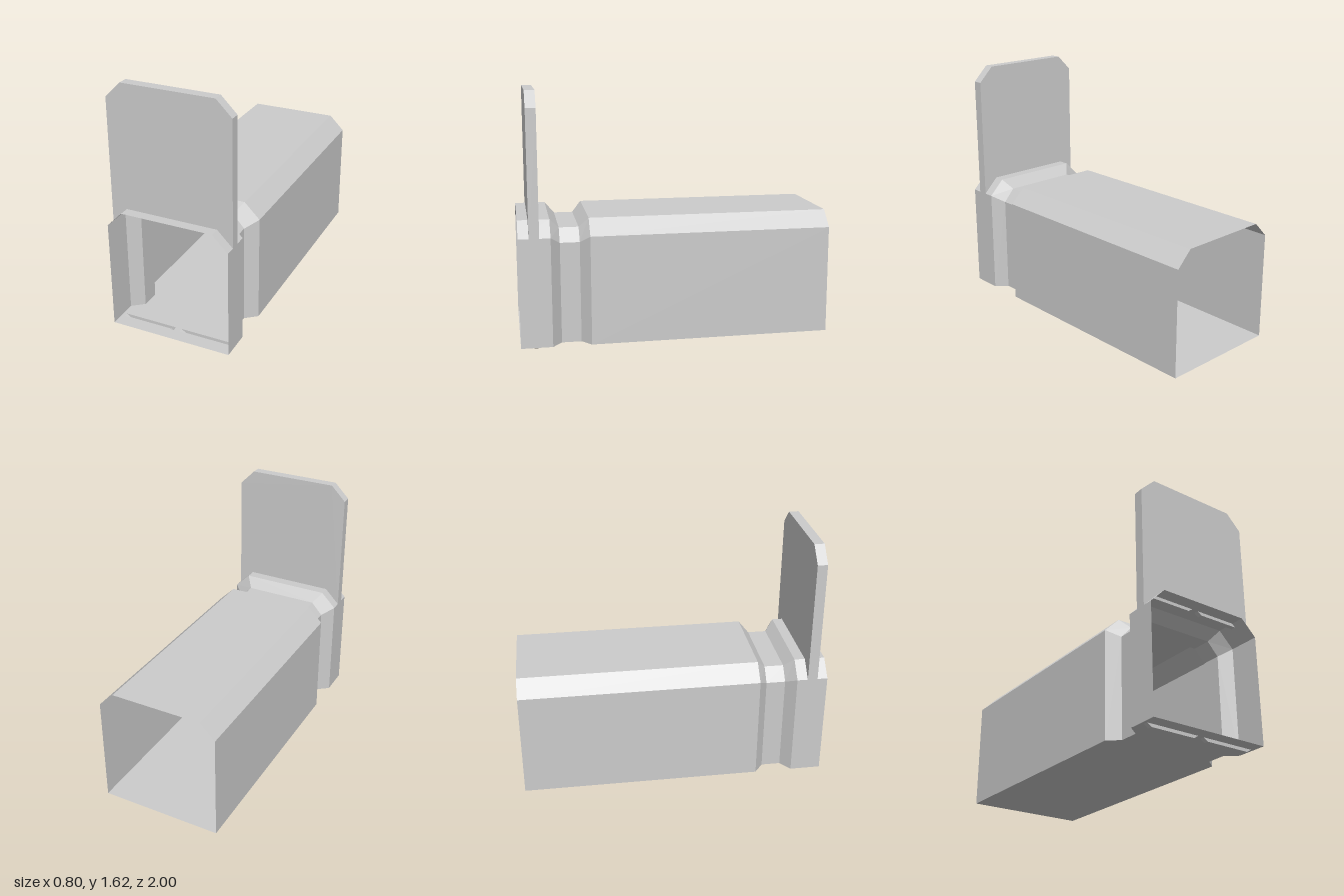
import * as THREE from 'three';

const FLOOR = 0.02;
const material = new THREE.MeshStandardMaterial({ color: 0xcccccc, flatShading: true, side: THREE.DoubleSide });

function mesh(name, geometry) {
  const m = new THREE.Mesh(geometry, material);
  m.name = name;
  return m;
}

function shapeOf(points) {
  return new THREE.Shape(points.map(([x, y]) => new THREE.Vector2(x, y)));
}

// Sheet of flat quads joining consecutive open rows of points
function sheet(rows) {
  const pos = [];
  for (let s = 0; s < rows.length - 1; s++) {
    for (let i = 0; i < rows[s].length - 1; i++) {
      const a = rows[s][i], b = rows[s][i + 1], c = rows[s + 1][i + 1], d = rows[s + 1][i];
      pos.push(...a, ...d, ...c, ...a, ...c, ...b);
    }
  }
  const g = new THREE.BufferGeometry();
  g.setAttribute('position', new THREE.Float32BufferAttribute(pos, 3));
  g.computeVertexNormals();
  return g;
}

export function createModel() {
  const group = new THREE.Group();

  // Duct cross-sections: half width, shoulder half width, shoulder height, roof height
  const wide = [0.4, 0.3, 0.72, 0.82];
  const neck = [0.325, 0.25, 0.672, 0.755];
  const stations = [[1, wide], [0.8, wide], [0.74, neck], [0.615, neck], [0.555, wide], [-1, wide]];

  // Open walls and roof with a pinched neck
  group.add(mesh('ductShell', sheet(stations.map(([z, [w, t, ys, yt]]) => [
    [w, FLOOR, z], [w, ys, z], [t, yt, z], [-t, yt, z], [-w, ys, z], [-w, FLOOR, z],
  ]))));

  // Floor following the neck, with two slots
  const z0 = 0.885, z1 = 0.915;
  const edge = stations.map(([z, [w]]) => [w, z]);
  const floor = shapeOf([...edge, ...edge.map(([x, z]) => [-x, z]).reverse()]);
  for (const s of [-1, 1]) {
    floor.holes.push(shapeOf([[s * 0.02, z0], [s * 0.38, z0], [s * 0.38, z1], [s * 0.02, z1]]));
  }
  const floorGeometry = new THREE.ShapeGeometry(floor);
  floorGeometry.rotateX(Math.PI / 2).translate(0, FLOOR, 0);
  group.add(mesh('ductFloor', floorGeometry));

  // Gate plate: chamfered top, lower edge seated on the roof
  const plate = new THREE.ExtrudeGeometry(shapeOf([
    [-0.4, 0.72], [-0.3, 0.82], [0.3, 0.82], [0.4, 0.72],
    [0.4, 1.52], [0.3, 1.62], [-0.3, 1.62], [-0.4, 1.52],
  ]), { depth: 0.065, bevelEnabled: false });
  plate.translate(0, 0, 0.869);
  group.add(mesh('gatePlate', plate));

  for (const s of [-1, 1]) {
    const side = s > 0 ? 'left' : 'right';
    const tab = [[s * 0.02, 0.02], [s * 0.05, 0], [s * 0.35, 0], [s * 0.38, 0.02]];

    // Tapered groove under the floor slot: ramps, bottom and two long sides
    const groove = new THREE.Group();
    groove.name = side + 'Groove';
    groove.add(mesh('grooveBottom', sheet([z0, z1].map(z => tab.map(([x, y]) => [x, y, z])))));
    for (const z of [z0, z1]) {
      const wall = new THREE.ShapeGeometry(shapeOf(tab));
      wall.translate(0, 0, z);
      groove.add(mesh('grooveSide', wall));
    }
    group.add(groove);

    // Matching tab of the gate, reaching through the roof
    const tabGeometry = new THREE.ExtrudeGeometry(shapeOf(tab), { depth: z1 - z0, bevelEnabled: false });
    tabGeometry.translate(0, 0.8, z0);
    group.add(mesh(side + 'GateTab', tabGeometry));
  }
  return group;
}
